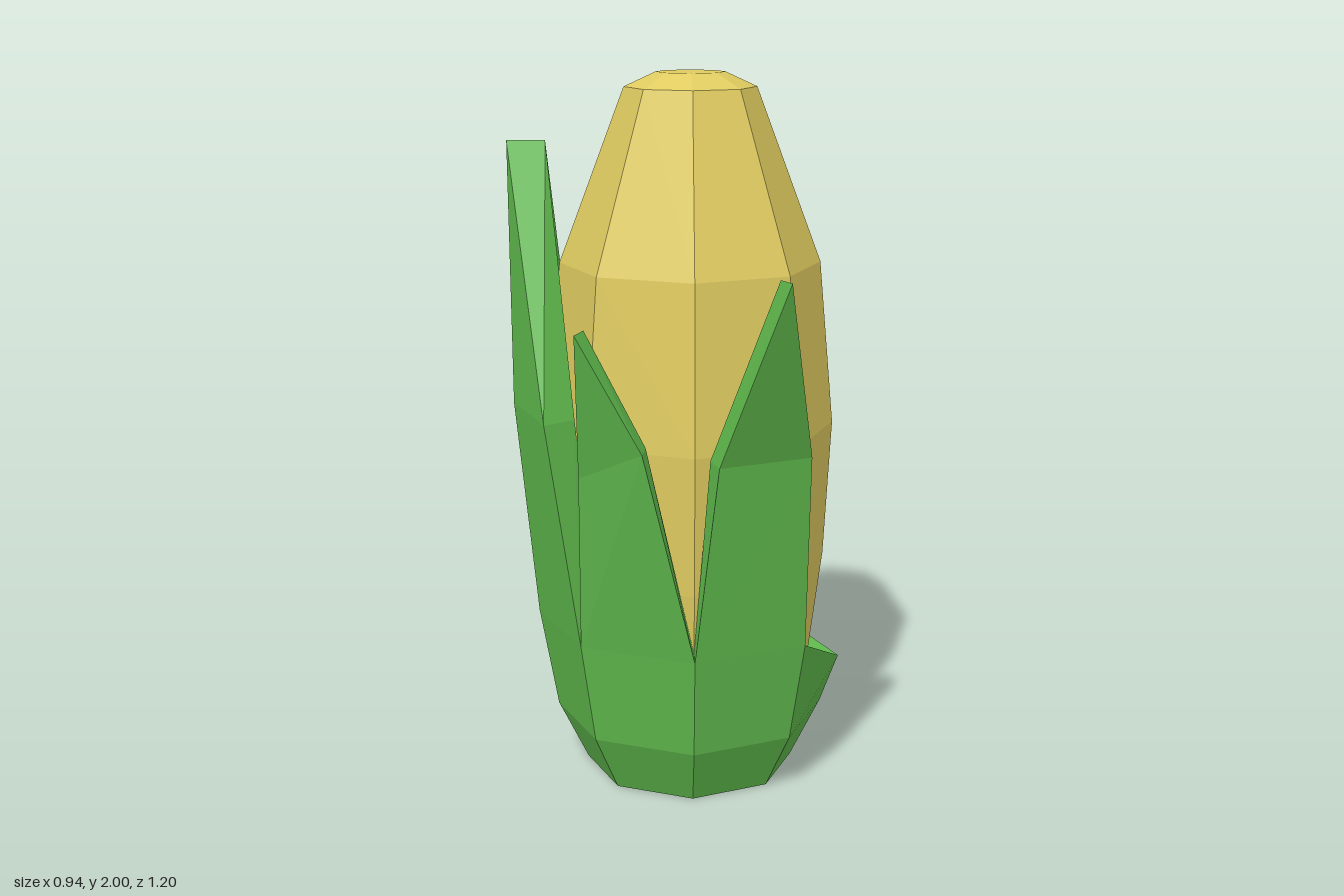
import * as THREE from 'three';

const CX = 0.03, CZ = -0.035; // axis of the cob

const kernelYellow = new THREE.MeshStandardMaterial({ color: 0xdfcb60, flatShading: true });
kernelYellow.name = 'kernelYellow';
const huskGreen = new THREE.MeshStandardMaterial({ color: 0x60ba4d, flatShading: true });
huskGreen.name = 'huskGreen';

// Corner i of an octagon round the axis, counted from the front towards +x
function corner(i, r, y) {
  const a = (i * Math.PI) / 4;
  return [CX + r * Math.sin(a), y, CZ + r * Math.cos(a)];
}

// Mesh from polygons, each split into a fan of triangles
function polyMesh(name, faces, material) {
  const pos = [];
  for (const f of faces)
    for (let k = 1; k < f.length - 1; k++) pos.push(...f[0], ...f[k], ...f[k + 1]);
  const geo = new THREE.BufferGeometry();
  geo.setAttribute('position', new THREE.Float32BufferAttribute(pos, 3));
  geo.computeVertexNormals();
  const mesh = new THREE.Mesh(geo, material);
  mesh.name = name;
  return mesh;
}

// Rim of the husk cup: lower where the leaf is missing
const rimY = (i) => (i % 8 === 2 || i % 8 === 3 ? 0.31 : 0.46);
const rimOuter = (i) => corner(i, 0.437, rimY(i));
const rimInner = (i) => corner(i, rimY(i) < 0.4 ? 0.34 : 0.365, rimY(i));

function makeCup() {
  const faces = [];
  const base = [];
  for (let i = 0; i < 8; i++) {
    base.unshift(corner(i, 0.3, 0));
    faces.push([corner(i, 0.3, 0), corner(i + 1, 0.3, 0), corner(i + 1, 0.385, 0.17), corner(i, 0.385, 0.17)]);
    faces.push([corner(i, 0.385, 0.17), corner(i + 1, 0.385, 0.17), rimOuter(i + 1), rimOuter(i)]);
    // open rim where no leaf grows
    if (i >= 1 && i <= 3) faces.push([rimOuter(i), rimOuter(i + 1), rimInner(i + 1), rimInner(i)]);
  }
  faces.push(base);
  return polyMesh('huskCup', faces, huskGreen);
}

// Thick pointed leaf growing from the rim, starting at corner `start`
function makeLeaf({ name, start, outer, inner, tip, tipInner }) {
  const n = outer.length - 1;
  const O = outer.map((_, k) => rimOuter(start + k));
  const I = outer.map((_, k) => rimInner(start + k));
  const faces = [];
  for (let k = 0; k < n; k++) {
    faces.push([O[k], O[k + 1], outer[k + 1], outer[k]], [outer[k], outer[k + 1], tip]);
    faces.push([I[k + 1], I[k], inner[k], inner[k + 1]], [inner[k + 1], inner[k], tipInner]);
  }
  // side edges
  faces.push([I[0], O[0], outer[0], inner[0]], [inner[0], outer[0], tip, tipInner]);
  faces.push([O[n], I[n], inner[n], outer[n]], [outer[n], inner[n], tipInner, tip]);
  return polyMesh(name, faces, huskGreen);
}

const leaves = [
  {
    name: 'frontLeftLeaf', start: 0,
    outer: [[0.09, 1.02, 0.465], [0.34, 1.02, 0.36]],
    inner: [[0.07, 1.02, 0.385], [0.29, 1.02, 0.305]],
    tip: [0.26, 1.525, 0.597], tipInner: [0.235, 1.525, 0.545],
  },
  {
    name: 'frontRightLeaf', start: 7,
    outer: [[-0.277, 0.97, 0.37], [-0.11, 1.06, 0.475]],
    inner: [[-0.23, 0.97, 0.3], [-0.1, 1.06, 0.4]],
    tip: [-0.28, 1.38, 0.505], tipInner: [-0.257, 1.38, 0.44],
  },
  {
    name: 'backLeaf', start: 4,
    outer: [[0.005, 1.02, -0.52], [-0.245, 1.02, -0.415]],
    inner: [[0.005, 1.02, -0.435], [-0.2, 1.02, -0.36]],
    tip: [-0.2, 1.555, -0.6], tipInner: [-0.18, 1.555, -0.555],
  },
  {
    name: 'tallRightLeaf', start: 5,
    outer: [[-0.41, 1.09, -0.255], [-0.465, 1.09, 0.005], [-0.37, 1.09, 0.275]],
    inner: [[-0.3, 1.09, -0.23], [-0.365, 1.09, 0], [-0.29, 1.09, 0.21]],
    tip: [-0.47, 1.82, 0.005], tipInner: [-0.365, 1.82, 0.005],
  },
];

export function createModel() {
  const model = new THREE.Group();
  model.name = 'cornCob';

  // eight-sided cob
  const profile = [[0, 0.06], [0.24, 0.06], [0.345, 0.31], [0.385, 0.63], [0.405, 1.02],
    [0.363, 1.48], [0.182, 1.96], [0.095, 2], [0, 2]];
  const cobGeo = new THREE.LatheGeometry(profile.map(([r, y]) => new THREE.Vector2(r, y)), 8).toNonIndexed();
  cobGeo.computeVertexNormals();
  const cob = new THREE.Mesh(cobGeo, kernelYellow);
  cob.name = 'cob';
  cob.position.set(CX, 0, CZ);
  model.add(cob);

  // husk
  const husk = new THREE.Group();
  husk.name = 'husk';
  husk.add(makeCup(), ...leaves.map(makeLeaf));
  model.add(husk);
  return model;
}
